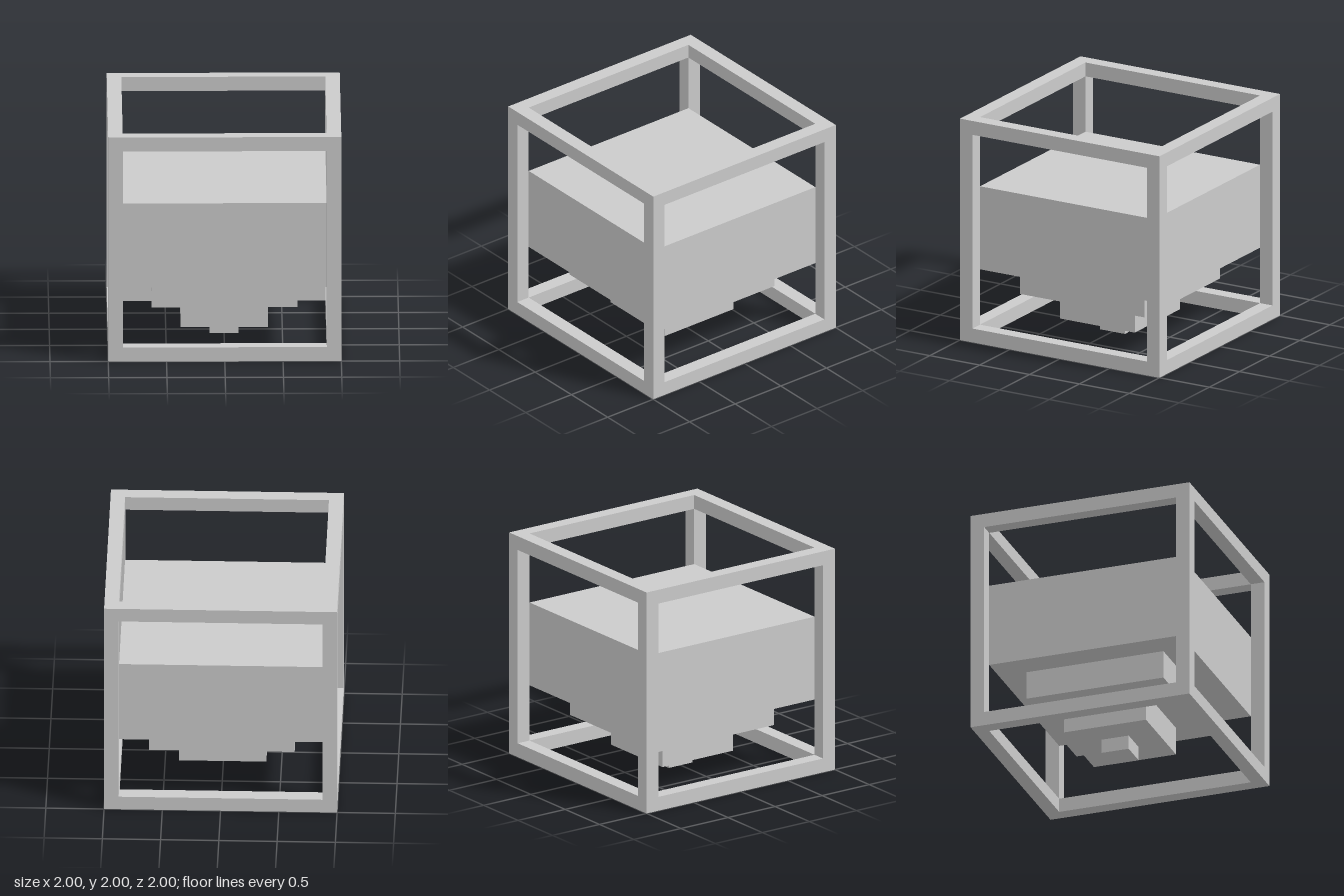
import * as THREE from 'three';

const BAR = 0.125; // thickness of the frame bars
const INNER = 1 - BAR;

export function createModel() {
  const model = new THREE.Group();
  const material = new THREE.MeshStandardMaterial({ color: 0xcccccc, flatShading: true });

  const add = (name, geometry, x, y, z, parent) => {
    const mesh = new THREE.Mesh(geometry, material);
    mesh.name = name;
    mesh.position.set(x, y, z);
    parent.add(mesh);
  };

  // Square outline as a closed path
  const square = (path, h) =>
    path.moveTo(-h, -h).lineTo(h, -h).lineTo(h, h).lineTo(-h, h).closePath();

  // Open cube frame: two square rings joined by four corner posts
  const frame = new THREE.Group();
  frame.name = 'frame';
  model.add(frame);

  const outline = square(new THREE.Shape(), 1);
  outline.holes.push(square(new THREE.Path(), INNER));
  const ring = new THREE.ExtrudeGeometry(outline, { depth: BAR, bevelEnabled: false });
  ring.rotateX(-Math.PI / 2);
  add('bottomRing', ring, 0, 0, 0, frame);
  add('topRing', ring, 0, 2 - BAR, 0, frame);

  const post = new THREE.BoxGeometry(BAR, 2 - 2 * BAR, BAR);
  const c = 1 - BAR / 2;
  for (const x of [-c, c]) for (const z of [-c, c]) add('cornerPost', post, x, 1, z, frame);

  // Solid body stepping down to a small foot: name, half width, bottom, top
  const tiers = [
    ['mainBlock', INNER, 0.625, 1.375],
    ['upperStep', 0.625, 0.375, 0.625],
    ['lowerStep', 0.375, 0.125, 0.375],
    ['foot', 0.125, 0, 0.125],
  ];
  const body = new THREE.Group();
  body.name = 'steppedBody';
  model.add(body);
  for (const [name, half, bottom, top] of tiers) {
    const box = new THREE.BoxGeometry(half * 2, top - bottom, half * 2);
    add(name, box, 0, (bottom + top) / 2, 0, body);
  }

  return model;
}
